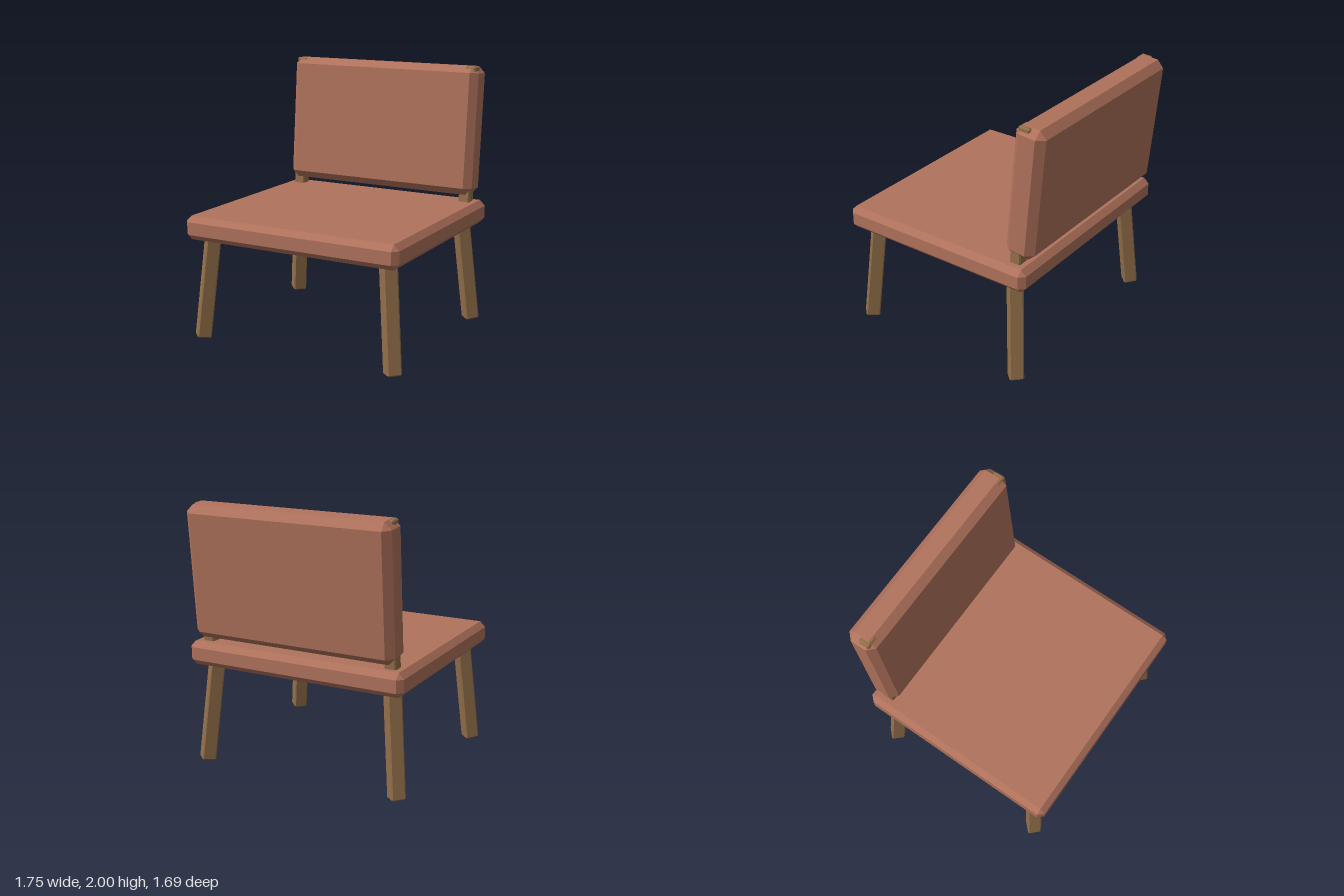
import * as THREE from 'three';
import { ConvexGeometry } from 'three/addons/geometries/ConvexGeometry.js';

// Box with flat chamfers of width b on every edge, centred on the origin
function chamferBox(w, h, d, b) {
  const half = [w / 2, h / 2, d / 2];
  const points = [];
  for (const sx of [-1, 1]) for (const sy of [-1, 1]) for (const sz of [-1, 1]) {
    const sign = [sx, sy, sz];
    for (let outer = 0; outer < 3; outer++) {
      const c = half.map((v, i) => sign[i] * (i === outer ? v : v - b));
      points.push(new THREE.Vector3(...c));
    }
  }
  return new ConvexGeometry(points);
}

export function createModel() {
  const chair = new THREE.Group();
  chair.name = 'chair';
  const fabric = new THREE.MeshStandardMaterial({ color: 0xb0725c, flatShading: true });
  const wood = new THREE.MeshStandardMaterial({ color: 0x94704a, flatShading: true });

  const add = (name, geometry, material, x, y, z) => {
    const mesh = new THREE.Mesh(geometry, material);
    mesh.name = name;
    mesh.position.set(x, y, z);
    chair.add(mesh);
    return mesh;
  };

  // Cushions
  add('seatCushion', chamferBox(1.745, 0.18, 1.595, 0.042), fabric, 0, 0.865, 0.0475);
  const back = add('backCushion', chamferBox(1.615, 0.993, 0.234, 0.053), fabric, 0, 1.499, -0.69);
  back.rotation.x = -0.0873;

  const up = new THREE.Vector3(0, 1, 0);
  const quarterTurn = new THREE.Quaternion().setFromAxisAngle(up, Math.PI / 4);
  const legGeometry = chamferBox(0.108, 0.76, 0.108, 0.01);
  const postGeometry = chamferBox(0.09, 1.17, 0.09, 0.01);

  for (const side of [-1, 1]) {
    const label = side > 0 ? 'Left' : 'Right';

    // Back posts, running from the seat up through the back cushion
    const post = add('backPost' + label, postGeometry, wood, side * 0.745, 1.41, -0.654);
    post.rotation.x = -0.067;

    // Legs, turned to face the corners and splayed outwards
    for (const [name, z, dz] of [['frontLeg', 0.71, 0.06], ['backLeg', -0.618, -0.06]]) {
      const leg = add(name + label, legGeometry, wood, side * 0.766, 0.3825, z);
      const axis = new THREE.Vector3(-side * 0.07, 0.765, -dz).normalize();
      leg.quaternion.setFromUnitVectors(up, axis).multiply(quarterTurn);
    }
  }
  return chair;
}
